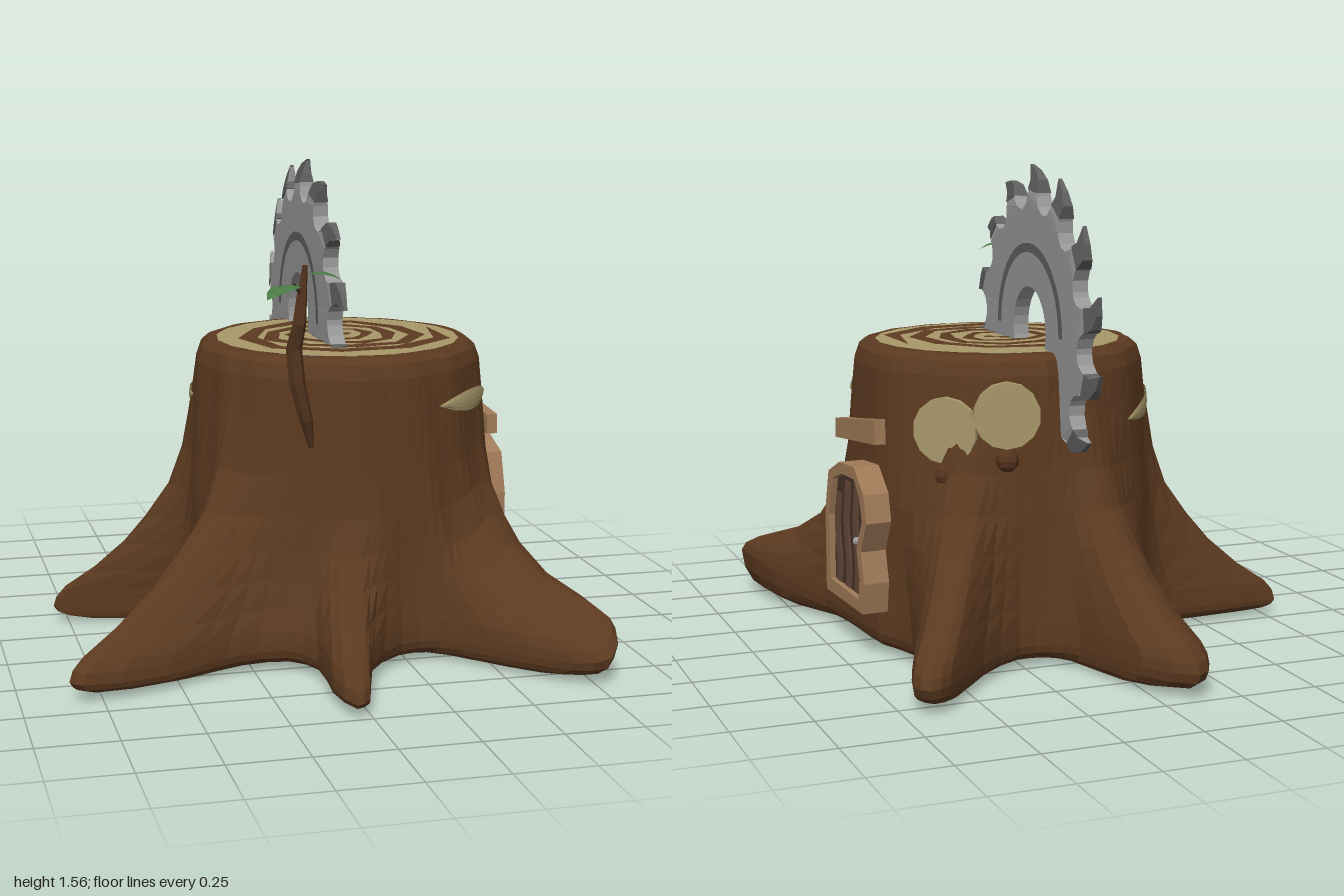
import * as THREE from 'three';

const CX = 0.145, CZ = 0.02, TOP = 0.98;
const BARK = 0x5c3a20, TAN = 0xa8986a, STEEL = 0x999999, DARK_STEEL = 0x606060, WOOD = 0xa07a58;

function part(parent, name, geometry, color) {
  const material = new THREE.MeshStandardMaterial({ color, flatShading: true, side: THREE.DoubleSide });
  const mesh = new THREE.Mesh(geometry, material);
  mesh.name = name;
  parent.add(mesh);
  return mesh;
}

// Grid of points, one array per row, joined into quads
function loft(rows, closed) {
  const n = rows[0].length, index = [];
  for (let r = 0; r < rows.length - 1; r++) {
    for (let i = 0; i < (closed ? n : n - 1); i++) {
      const a = r * n + i, b = r * n + (i + 1) % n;
      index.push(a, b, b + n, a, b + n, a + n);
    }
  }
  const g = new THREE.BufferGeometry();
  g.setAttribute('position', new THREE.Float32BufferAttribute(rows.flat(2), 3));
  g.setIndex(index);
  g.computeVertexNormals();
  return g;
}

const toShape = (pts) => new THREE.Shape(pts.map(([x, y]) => new THREE.Vector2(x, y)));

// Flat outline (back to front, up) extruded along x from x0 to x1
function sidePlate(shape, x0, x1) {
  const g = new THREE.ExtrudeGeometry(shape, { depth: x1 - x0, bevelEnabled: false, curveSegments: 14 });
  return g.rotateY(Math.PI / 2).translate(x0, 0, 0);
}

// Trunk: ground outline with six roots, drawn in to a round top
function trunkGeometry() {
  const outline = [ // x, z, root height
    [.095, -.58, .07], [.015, -.86, .08], [-.11, -1, .08], [-.19, -.9, .08], [-.21, -.66, .07], [-.21, -.45, .07],
    [-.27, -.31, .07], [-.39, -.23, .06], [-.79, -.21, .05], [-.79, -.165, .05], [-.42, -.06, .06], [-.36, .08, .07],
    [-.41, .21, .06], [-.6, .4, .05], [-.85, .635, .06], [-.815, .675, .06], [-.55, .62, .05], [-.34, .53, .06],
    [-.15, .53, .07], [-.075, .63, .06], [-.085, .85, .05], [-.05, 1, .045], [0, .96, .045], [.085, .69, .06],
    [.22, .555, .07], [.35, .545, .07], [.48, .66, .07], [.68, .86, .07], [.79, .9, .09], [.845, .79, .15],
    [.8, .53, .13], [.68, .27, .08], [.65, .05, .07], [.63, -.17, .07], [.57, -.34, .07], [.64, -.58, .06],
    [.715, -.79, .08], [.68, -.85, .08], [.61, -.82, .08], [.43, -.61, .06], [.27, -.5, .07], [.16, -.51, .07],
  ].map(([x, z, h]) => new THREE.Vector3(x, h, z));
  const foot = new THREE.CatmullRomCurve3(outline, true).getPoints(84).slice(0, -1);
  const n = foot.length;

  // Directions around the wall, relaxed so the points spread evenly
  let angles = foot.map((p) => Math.atan2(p.z - CZ, p.x - CX));
  for (let i = 1; i < n; i++) while (angles[i] > angles[i - 1] + Math.PI) angles[i] -= 2 * Math.PI;
  for (let pass = 0; pass < 25; pass++) {
    angles = angles.map((a, i) => {
      const before = i ? angles[i - 1] : angles[n - 1] + 2 * Math.PI;
      const after = i < n - 1 ? angles[i + 1] : angles[0] - 2 * Math.PI;
      return (before + 2 * a + after) / 4;
    });
  }

  // Underside: scale of the outline, base height, share of the root height
  const rows = [[0, 0, 0], [.6, .006, 0], [.88, .012, 0], [.955, .012, .2], [.988, .006, .55]].map(([s, y, k]) =>
    foot.map((p) => [CX + (p.x - CX) * s, y + p.y * k, CZ + (p.z - CZ) * s]));
  const profile = [ // height fraction, spread towards the roots, wall radius
    [0, 1, .5], [.035, .98, .5], [.07, .92, .5], [.14, .71, .5], [.24, .48, .5], [.34, .31, .5], [.46, .14, .5],
    [.6, .06, .49], [.8, .015, .48], [.93, 0, .472], [.98, 0, .457], [1, 0, .435], [1, 0, .39],
  ];
  const { lerp, smoothstep } = THREE.MathUtils;
  for (const [t, spread, wall] of profile) {
    rows.push(foot.map((p, i) => {
      // The front roots fall away more steeply
      const f = Math.pow(spread, 1 + smoothstep(p.z, 0.45, 0.85) * smoothstep(p.x, -0.4, -0.1));
      const w = wall + 0.005 * Math.sin(i * 1.1 + t * 4);
      const x = CX + w * Math.cos(angles[i]), z = CZ + w * Math.sin(angles[i]);
      return [lerp(x, p.x, f), lerp(p.y, TOP, t), lerp(z, p.z, f)];
    }));
  }
  return loft(rows, true);
}

// Growth ring: one flat spiral band
function spiralGeometry() {
  const outer = [], inner = [], steps = 38;
  for (let i = 0; i <= steps; i++) {
    const a = i / 9.3 * Math.PI * 2 - 0.3, r = 0.025 + 0.325 * i / steps + 0.012 * Math.sin(i * 1.9);
    const w = i === steps ? 0.002 : 0.013 + 0.018 * i / steps + 0.005 * Math.sin(i * 2.7);
    outer.push([(r + w) * Math.cos(a), (r + w) * Math.sin(a)]);
    inner.push([(r - w) * Math.cos(a), (r - w) * Math.sin(a)]);
  }
  return new THREE.ShapeGeometry(toShape([...outer, ...inner.reverse()])).rotateX(-Math.PI / 2);
}

// Lens-shaped cut that follows the round wall
function slitGeometry(angle, half, y, tilt) {
  const rows = [-1, -0.5, 0, 0.5, 1].map((v) => {
    const row = [];
    for (let i = 0; i <= 12; i++) {
      const u = i / 6 - 1, a = angle - u * half, r = 0.498 - 0.004 * v * v - 0.006 * u * u;
      row.push([CX + r * Math.cos(a), y + tilt * u + v * 0.035 * (1 - u * u), CZ + r * Math.sin(a)]);
    }
    return row;
  });
  return loft(rows, false);
}

function buildSaw() {
  const saw = new THREE.Group();
  saw.name = 'sawBlade';
  const polar = (deg, r) => [r * Math.cos(deg * Math.PI / 180), r * Math.sin(deg * Math.PI / 180)];
  // Teeth get thinner towards their points
  const taper = (g) => {
    const p = g.attributes.position;
    for (let i = 0; i < p.count; i++) {
      const r = Math.hypot(p.getY(i), p.getZ(i));
      if (r > 0.43) p.setX(i, p.getX(i) * (1 - (r - 0.43) * 8));
    }
    g.computeVertexNormals();
    return g;
  };
  const outline = [];
  for (let k = 0; k < 14; k++) {
    const a = 94 + k * 360 / 14;
    outline.push(polar(a - 19, .39), polar(a - 14.5, .405), polar(a - 12, .435), polar(a - 10.5, .48),
      polar(a - 6, .508), polar(a, .525), polar(a - 3, .475), polar(a - 2, .435), polar(a, .405), polar(a + 4, .39));
    const tip = toShape([polar(a - 12, .445), polar(a - 10.7, .485), polar(a - 6, .512), polar(a, .53),
      polar(a - 2.8, .48), polar(a - 2, .45)]);
    part(saw, 'toothTip', taper(sidePlate(tip, -0.029, 0.029)), DARK_STEEL);
  }
  const disc = toShape(outline);
  disc.holes.push(new THREE.Path().absarc(0, 0, 0.14, 0, Math.PI * 2, true));
  part(saw, 'blade', taper(sidePlate(disc, -0.026, 0.026)), STEEL);
  for (const x of [-0.0275, 0.0275]) {
    const arc = new THREE.RingGeometry(0.25, 0.28, 20, 1, 0, Math.PI);
    part(saw, 'bladeGroove', arc.rotateY(Math.PI / 2).translate(x, 0, 0), DARK_STEEL);
  }
  saw.position.set(0.092, 1.03, -0.2);
  return saw;
}

// Door with planks and the blank board above it, turned a little to follow the wall
function buildDoorway() {
  const door = new THREE.Group();
  door.name = 'doorway';
  const frame = toShape([[-.105, .16], [-.105, .43], [-.07, .565], [.03, .61], [.16, .615], [.24, .54],
    [.26, .45], [.21, .35], [.235, .25], [.22, .15]]);
  const inner = [[-.07, .205], [-.07, .42], [-.035, .545], [.05, .575], [.16, .575], [.205, .52],
    [.222, .45], [.172, .355], [.195, .26], [.185, .19]];
  frame.holes.push(toShape(inner));
  part(door, 'doorFrame', sidePlate(frame, 0.63, 0.715), WOOD);
  part(door, 'doorPanel', sidePlate(toShape(inner), 0.63, 0.695), 0x473328);
  // Wavy lighter planks
  for (const [u, top] of [[-.045, .5], [.035, .55], [.115, .56]]) {
    const left = [], right = [];
    for (let i = 0; i <= 6; i++) {
      const y = 0.2 + (top - 0.2) * i / 6, wave = u + 0.01 * Math.sin(i * 1.3);
      left.push([wave - 0.004, y]);
      right.push([wave + 0.038, y]);
    }
    part(door, 'doorPlank', sidePlate(toShape([...right, ...left.reverse()]), 0.68, 0.7), 0x66483a);
  }
  part(door, 'doorKnob', new THREE.SphereGeometry(0.014, 8, 6), 0x9a9a9a).position.set(0.708, 0.375, -0.16);
  const board = toShape([[-.17, .655], [.185, .685], [.18, .765], [-.165, .72]]);
  part(door, 'signBoard', sidePlate(board, 0.615, 0.652), WOOD);
  door.rotation.y = 0.08;
  door.position.z = 0.054;
  return door;
}

// Pointed leaf from base to tip with a folded midrib
function leafGeometry(from, to, width) {
  const a = new THREE.Vector3(...from), d = new THREE.Vector3(...to).sub(a);
  const side = new THREE.Vector3(-d.z, 0, d.x).normalize();
  const rows = [0, 0.2, 0.45, 0.75, 1].map((t) => {
    const c = a.clone().addScaledVector(d, t);
    c.y += 0.02 * Math.sin(t * Math.PI);
    const w = width * Math.sin(Math.PI * Math.pow(t, 0.8));
    return [-1, 0, 1].map((s) => [c.x + side.x * s * w, c.y - (s ? 0.15 * w : 0), c.z + side.z * s * w]);
  });
  return loft(rows, false);
}

function buildSprout() {
  const sprout = new THREE.Group();
  sprout.name = 'sprout';
  const path = [[-.062, .71, .485, .008], [-.08, .8, .495, .022], [-.105, .91, .485, .026], [-.112, 1.02, .465, .026],
    [-.1, 1.1, .485, .022], [-.09, 1.18, .475, .017], [-.077, 1.28, .465, .008]];
  const rows = path.map(([x, y, z, r]) => Array.from({ length: 6 }, (_, i) => {
    const a = -i * Math.PI / 3;
    return [x + r * Math.cos(a), y, z + r * Math.sin(a)];
  }));
  part(sprout, 'sproutStem', loft(rows, true), 0x50321c);
  part(sprout, 'twig', new THREE.TubeGeometry(new THREE.LineCurve3(
    new THREE.Vector3(-.09, 1.19, .475), new THREE.Vector3(-.12, 1.225, .5)), 1, 0.006, 5), 0x50321c);
  part(sprout, 'leftLeaf', leafGeometry([-.07, 1.25, .465], [.035, 1.232, .495], 0.036), 0x4a7a45);
  part(sprout, 'rightLeaf', leafGeometry([-.105, 1.22, .485], [-.23, 1.195, .605], 0.046), 0x4a7a45);
  return sprout;
}

export function createModel() {
  const model = new THREE.Group();
  part(model, 'trunk', trunkGeometry(), BARK);
  const face = new THREE.CircleGeometry(0.405, 20).rotateX(-Math.PI / 2);
  part(model, 'cutFace', face, TAN).position.set(CX, TOP + 0.003, CZ);
  part(model, 'growthSpiral', spiralGeometry(), BARK).position.set(CX, TOP + 0.007, CZ);
  part(model, 'frontSlit', slitGeometry(0.73, 0.37, 0.815, 0), TAN);
  part(model, 'backSlit', slitGeometry(-2.68, 0.45, 0.775, 0.03), TAN);

  // Flat round knots on the back, each with a small rounded nub below
  for (const [angle, y] of [[-0.88, 0.75], [-1.27, 0.8]]) {
    const knot = new THREE.Group();
    knot.name = 'knot';
    const disc = new THREE.CylinderGeometry(0.105, 0.105, 0.03, 14).rotateX(Math.PI / 2);
    part(knot, 'knotFace', disc, TAN).position.z = 0.492;
    const nub = part(knot, 'knotNub', new THREE.SphereGeometry(0.038, 8, 6), 0x56341d);
    nub.position.set(0, -0.14, 0.495);
    knot.position.set(CX, y, CZ);
    knot.rotation.y = Math.PI / 2 - angle;
    model.add(knot);
  }
  model.add(buildSaw(), buildDoorway(), buildSprout());
  return model;
}
